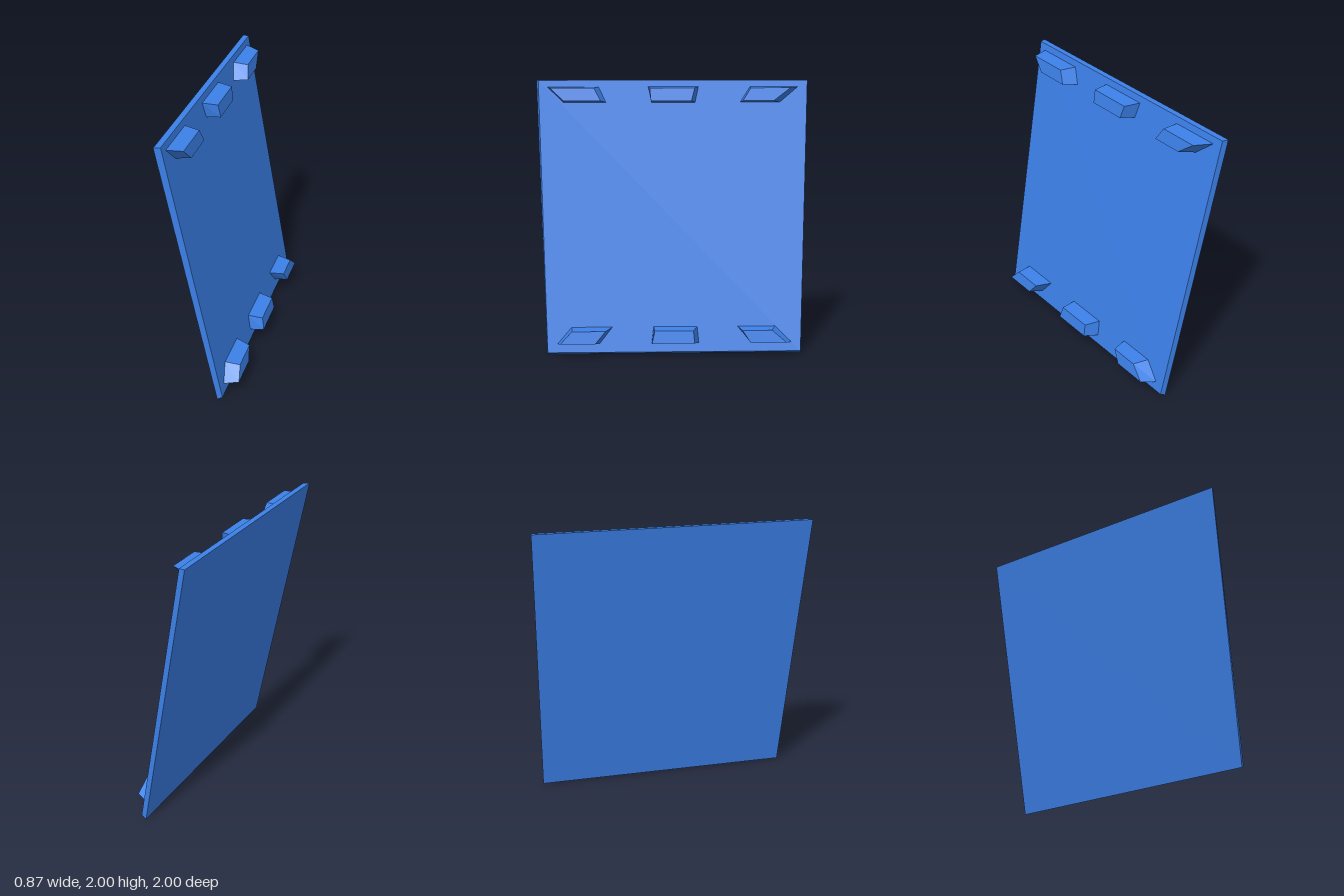
import * as THREE from 'three';

const material = new THREE.MeshStandardMaterial({ color: 0x3b80e8, flatShading: true });

// Solid between two four-cornered sections, both counter-clockwise as seen from +x
function loft(name, inner, outer) {
  const points = [];
  const quad = (a, b, c, d) => points.push(...a, ...b, ...c, ...a, ...c, ...d);
  quad(...outer);
  quad(...[...inner].reverse());
  for (let i = 0; i < 4; i++) {
    const j = (i + 1) % 4;
    quad(inner[i], inner[j], outer[j], outer[i]);
  }
  const geometry = new THREE.BufferGeometry();
  geometry.setAttribute('position', new THREE.Float32BufferAttribute(points, 3));
  geometry.computeVertexNormals();
  const mesh = new THREE.Mesh(geometry, material);
  mesh.name = name;
  return mesh;
}

// x of the panel's outer face at a given height and depth
const faceX = (y, z) => 0.196 * (2 - y) + 0.198 * (z - 0.97);

// Section of a block parallel to the panel; z lists front top, front bottom, back bottom, back top
function section([top, bottom], z, offset) {
  return [top, bottom, bottom, top].map((y, i) => [faceX(y, z[i]) + offset, y, z[i]]);
}

export function createModel() {
  const model = new THREE.Group();
  model.name = 'leaningPanel';

  // Leaning panel, cut level at the top and square at the back
  model.add(loft('panel',
    [[-0.04, 2, 0.995], [0.325, 0, 0.845], [-0.04, 0, -1], [-0.435, 2, -1]],
    [[0, 2, 0.97], [0.36, 0.02, 0.83], [0, 0.02, -1], [-0.39, 2, -1]]));

  // Two rows of tapered blocks standing on the outer face
  const rows = [
    {
      name: 'upperBlock', base: [1.952, 1.837], cap: [1.947, 1.853],
      blocks: [
        [[0.904, 0.781, 0.472, 0.53], [0.856, 0.755, 0.488, 0.54]],
        [[0.168, 0.141, -0.179, -0.2], [0.136, 0.125, -0.168, -0.189]],
        [[-0.579, -0.509, -0.8, -0.931], [-0.595, -0.541, -0.765, -0.883]],
      ],
    },
    {
      name: 'lowerBlock', base: [0.202, 0.086], cap: [0.196, 0.106],
      blocks: [
        [[0.664, 0.76, 0.456, 0.37], [0.637, 0.717, 0.467, 0.397]],
        [[0.072, 0.083, -0.259, -0.243], [0.045, 0.061, -0.243, -0.232]],
        [[-0.536, -0.632, -0.931, -0.808], [-0.584, -0.648, -0.904, -0.797]],
      ],
    },
  ];
  for (const row of rows) {
    row.blocks.forEach(([baseZ, capZ], i) => {
      model.add(loft(row.name + (i + 1), section(row.base, baseZ, 0), section(row.cap, capZ, 0.113)));
    });
  }
  return model;
}
